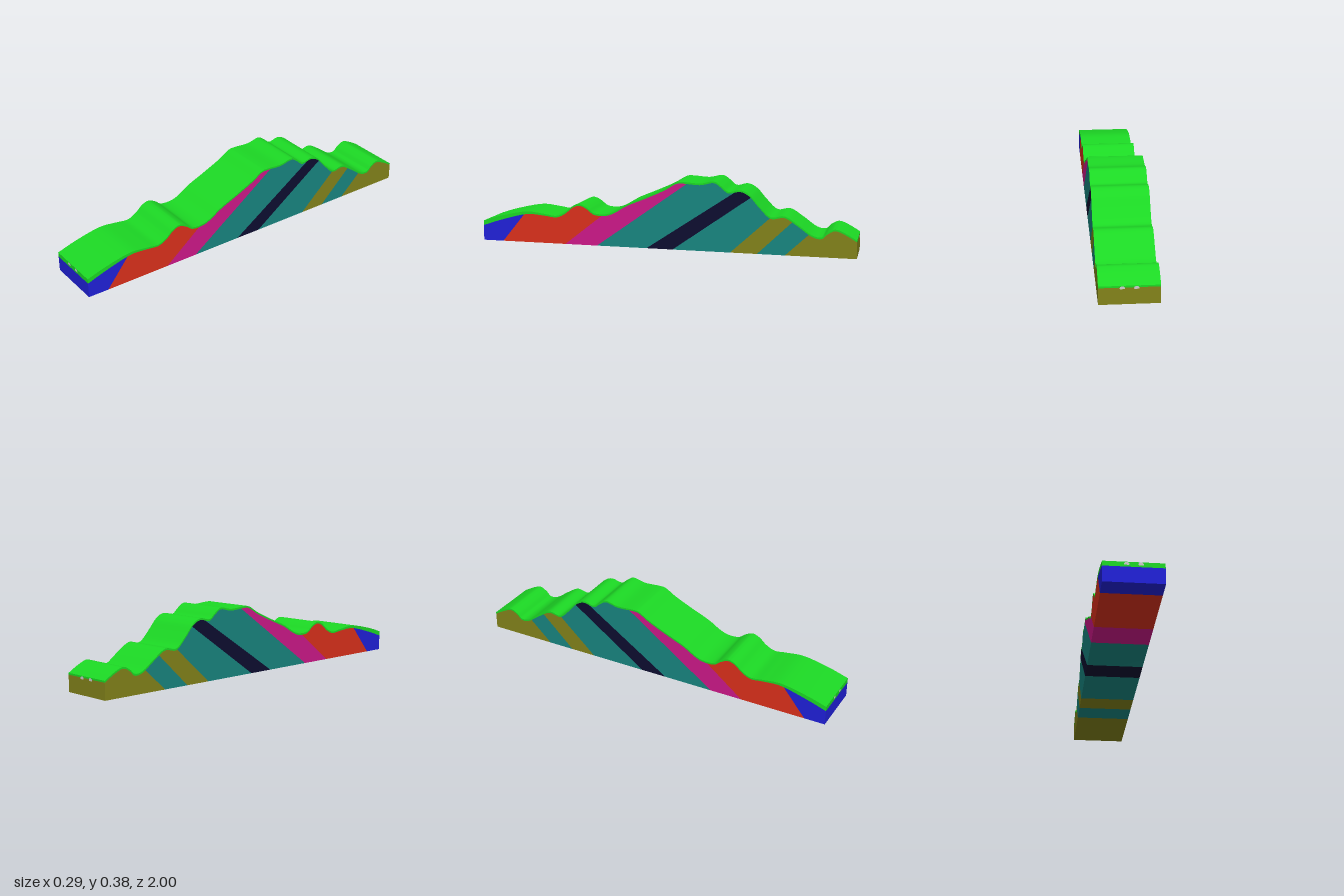
import * as THREE from 'three';
import { toCreasedNormals } from 'three/addons/utils/BufferGeometryUtils.js';

const WIDTH = 0.29;

// Ridge line from front to back as [z, y]
const ridge = [
  [1, 0.13], [0.9, 0.16], [0.76, 0.187], [0.66, 0.178], [0.59, 0.169], [0.54, 0.19],
  [0.5, 0.223], [0.46, 0.236], [0.42, 0.219], [0.38, 0.19], [0.32, 0.186], [0.27, 0.202],
  [0.2, 0.243], [0.1, 0.285], [0, 0.33], [-0.06, 0.365], [-0.1, 0.37], [-0.19, 0.364],
  [-0.26, 0.377], [-0.3, 0.355], [-0.34, 0.325], [-0.4, 0.335], [-0.45, 0.311],
  [-0.5, 0.255], [-0.56, 0.2], [-0.63, 0.207], [-0.7, 0.165], [-0.77, 0.115],
  [-0.82, 0.105], [-0.85, 0.13], [-0.89, 0.148], [-0.94, 0.13], [-1, 0.095],
];
const surface = new THREE.SplineCurve(ridge.map(([z, y]) => new THREE.Vector2(z, y))).getPoints(160);

// Turf is thickest at the front end
const turfDepth = (z) => 0.009 + 0.016 * THREE.MathUtils.smoothstep(z, 0.6, 1);
const soil = surface.map((p) => new THREE.Vector2(p.x, p.y - turfDepth(p.x)));
const baseY = (z) => 0.012 * (z + 1);

function soilPoint(z) {
  const i = Math.min(Math.max(soil.findIndex((p) => p.x <= z), 1), soil.length - 1);
  const a = soil[i - 1], b = soil[i];
  return new THREE.Vector2(z, THREE.MathUtils.mapLinear(z, a.x, b.x, a.y, b.y));
}

// Extrude a side profile (z, y) across the full width
function slab(name, points, color) {
  const geo = new THREE.ExtrudeGeometry(new THREE.Shape(points), { depth: WIDTH, bevelEnabled: false });
  geo.rotateY(-Math.PI / 2).translate(WIDTH / 2, 0, 0);
  const mesh = new THREE.Mesh(toCreasedNormals(geo, 0.6), new THREE.MeshStandardMaterial({ color }));
  mesh.name = name;
  return mesh;
}

export function createModel() {
  const group = new THREE.Group();
  group.name = 'hillCrossSection';

  // Slanted rock layers: name, colour, back edge z at the base, back edge z at the top
  const layers = [
    ['frontLayer', 0x2020d8, 0.89, 0.77],
    ['redLayer', 0xda301b, 0.54, 0.34],
    ['magentaLayer', 0xcc1888, 0.365, -0.12],
    ['tealLayer', 0x18857f, 0.095, -0.37],
    ['darkSeam', 0x0d0d30, -0.045, -0.455],
    ['tealMiddleLayer', 0x18857f, -0.35, -0.555],
    ['oliveSeam', 0x82821a, -0.49, -0.67],
    ['tealBackLayer', 0x18857f, -0.635, -0.755],
    ['backLayer', 0x82821a, -1, -1],
  ];
  let low = 1, high = 1;
  for (const [name, color, nextLow, nextHigh] of layers) {
    group.add(slab(name, [
      new THREE.Vector2(nextLow, baseY(nextLow)),
      new THREE.Vector2(low, baseY(low)),
      soilPoint(high),
      ...soil.filter((p) => p.x < high - 0.001 && p.x > nextHigh + 0.001),
      soilPoint(nextHigh),
    ], color));
    low = nextLow;
    high = nextHigh;
  }

  // Grass blanket following the ridge
  group.add(slab('grass', [...surface, ...soil.slice().reverse()], 0x1cd824));

  // Small grey domed plugs on both end faces
  const dome = new THREE.Shape();
  dome.moveTo(-0.01, -0.006);
  dome.lineTo(0.01, -0.006);
  dome.bezierCurveTo(0.016, -0.004, 0.012, 0.009, 0, 0.009);
  dome.bezierCurveTo(-0.012, 0.009, -0.016, -0.004, -0.01, -0.006);
  const plugGeo = new THREE.ShapeGeometry(dome, 8);
  const plugMat = new THREE.MeshStandardMaterial({ color: 0xcccccc });
  for (const end of [1, -1]) {
    for (const side of [1, -1]) {
      const plug = new THREE.Mesh(plugGeo, plugMat);
      plug.name = 'endPlug';
      plug.position.set(side * 0.033, end > 0 ? 0.12 : 0.084, end * 1.0008);
      if (end < 0) plug.rotation.y = Math.PI;
      group.add(plug);
    }
  }
  return group;
}
